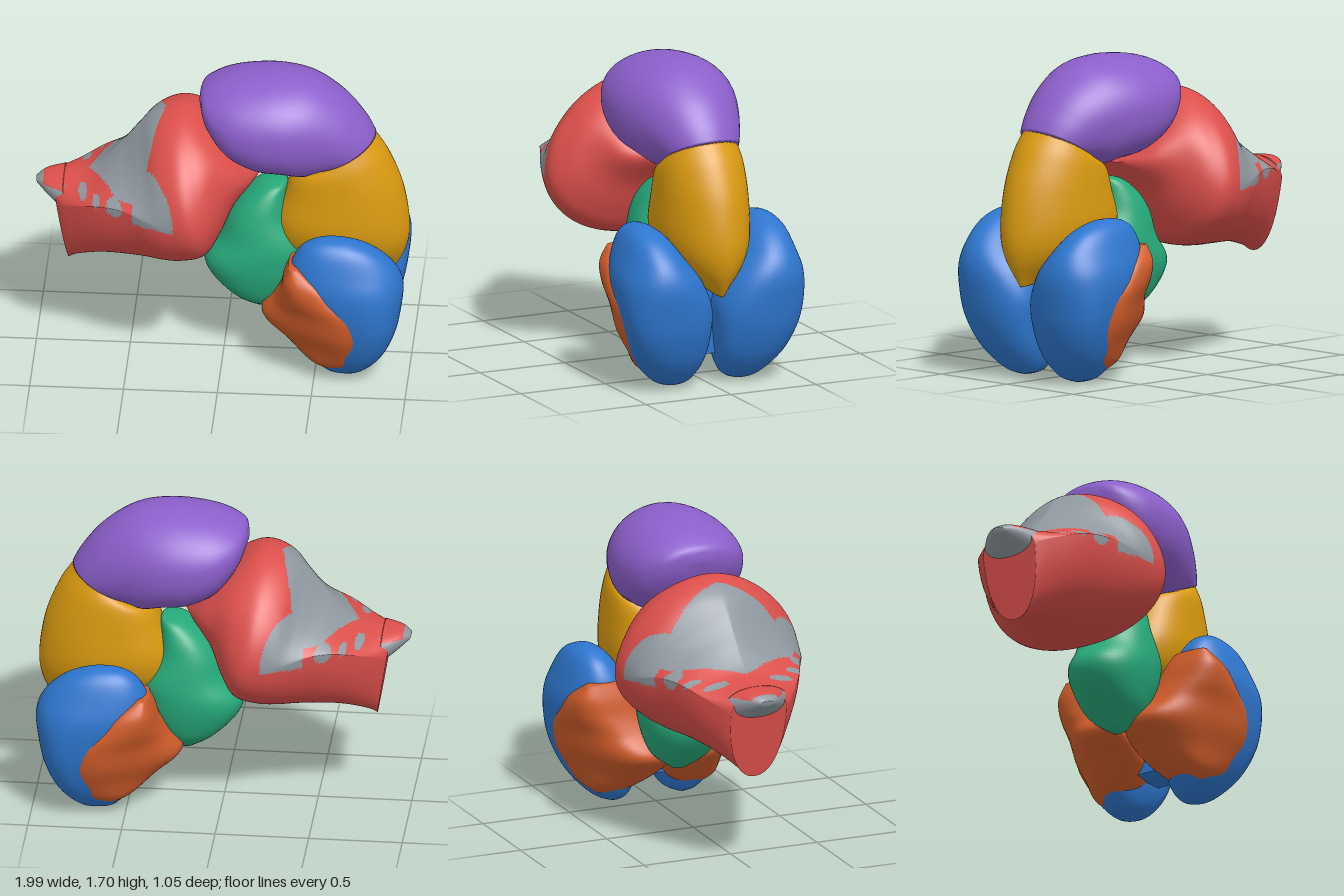
import * as THREE from 'three';

const mat = (name, color) => {
  const m = new THREE.MeshStandardMaterial({ color });
  m.name = name;
  return m;
};

// Catmull-Rom interpolation of whole section rows
function sampleRows(rows, t) {
  const n = rows.length - 1;
  const f = Math.min(t * n, n - 1e-6);
  const i = Math.floor(f), u = f - i;
  const at = (k) => rows[Math.max(0, Math.min(n, k))];
  const [p, q, r, s] = [at(i - 1), at(i), at(i + 1), at(i + 2)];
  return q.map((_, k) => q[k] + 0.5 * u * (r[k] - p[k]
    + u * (2 * p[k] - 5 * q[k] + 4 * r[k] - s[k] + u * (3 * (q[k] - r[k]) + s[k] - p[k]))));
}

// Closed loft. Row: ax, ay, bx, by (section ends in the xy plane), half width, z centre,
// widest point between a and b, z drift towards a, roundness power of the half near a.
function loft(rows, { rings = 40, seg = 48, power = 0.9, powerA = power, pick = () => 0 } = {}) {
  rows = rows.map(([ax, ay, bx, by, w, c = 0, m = 0.5, drift = 0, pa = powerA]) =>
    [ax, ay, bx, by, w, c, m, drift, pa]);
  const pos = [], tris = [];
  const bend = (v, p) => Math.sign(v) * Math.abs(v) ** p;
  for (let i = 0; i <= rings; i++) {
    const [ax, ay, bx, by, w, c, m, drift, pa] = sampleRows(rows, i / rings);
    for (let j = 0; j < seg; j++) {
      const th = (j / seg) * Math.PI * 2;
      const p = Math.cos(th) > 0 ? pa : power;
      const k = bend(Math.cos(th), p);
      const t = k > 0 ? m * (1 - k) : m - k * (1 - m);
      pos.push(ax + (bx - ax) * t, ay + (by - ay) * t,
        c + w * bend(Math.sin(th), p) - drift * Math.max(0, k));
    }
  }
  for (let i = 0; i < rings; i++) {
    for (let j = 0; j < seg; j++) {
      const a = i * seg + j, b = i * seg + (j + 1) % seg;
      tris.push([a, b, a + seg], [b, b + seg, a + seg]);
    }
  }
  // end caps
  for (const i of [0, rings]) {
    const [ax, ay, bx, by, , c] = sampleRows(rows, i / rings);
    const centre = pos.length / 3;
    pos.push((ax + bx) / 2, (ay + by) / 2, c);
    for (let j = 0; j < seg; j++) {
      const a = i * seg + j, b = i * seg + (j + 1) % seg;
      tris.push(i ? [a, b, centre] : [b, a, centre]);
    }
  }
  const P = (k) => new THREE.Vector3().fromArray(pos, k * 3);
  let volume = 0;
  const sets = [[], []];
  for (const t of tris) {
    const [a, b, c] = t.map(P);
    volume += a.dot(b.clone().cross(c));
    sets[pick(a.clone().add(b).add(c).divideScalar(3))].push(t);
  }
  const order = sets.map((s) => s.flatMap(([a, b, c]) => (volume < 0 ? [a, c, b] : [a, b, c])));
  const g = new THREE.BufferGeometry();
  g.setAttribute('position', new THREE.Float32BufferAttribute(pos, 3));
  g.setIndex(order.flat());
  g.addGroup(0, order[0].length, 0);
  if (order[1].length) g.addGroup(order[0].length, order[1].length, 1);
  g.computeVertexNormals();
  return g;
}

export function createModel() {
  const model = new THREE.Group();
  const red = mat('red', 0xdb4f4b), grey = mat('grey', 0x8f989f);
  const purple = mat('purple', 0x8c5fcb), amber = mat('amber', 0xdb9b10);
  const green = mat('green', 0x27aa7b), blue = mat('blue', 0x2e77cf);
  const orange = mat('orange', 0xcf5c2a);
  const add = (name, geometry, material) => {
    const mesh = new THREE.Mesh(geometry, material);
    mesh.name = name;
    model.add(mesh);
  };

  // Hindbrain with its thin grey roof and small openings along the rim
  const isRoof = ({ x, y, z }) => {
    const d = Math.abs(z);
    const right = d < 0.3 ? -0.31 - 0.27 * d : -0.391 + (d - 0.3) * 0.75;
    const low = x < -0.46 ? 1.07 : 0.97;
    if (y > low && x > -0.72 + 0.5 * d && x < right) return 1;
    return [[-0.56, 0.045], [-0.66, 0.022], [-0.74, 0.022], [-0.84, 0.015]]
      .some(([cx, r]) => d > 0.12 && Math.hypot(x - cx, y - 1.03) < r) ? 1 : 0;
  };
  add('hindbrain', loft([
    [-0.90, 1.03, -0.82, 0.53, 0.16, 0, 0.25, 0, 1],
    [-0.85, 1.04, -0.77, 0.56, 0.21, 0, 0.2, 0, 1.2],
    [-0.70, 1.08, -0.62, 0.60, 0.315, 0, 0.15, 0, 1.5],
    [-0.55, 1.23, -0.42, 0.61, 0.40, 0, 0.32, 0, 1.65],
    [-0.46, 1.34, -0.30, 0.615, 0.46, 0, 0.46, 0, 1.5],
    [-0.38, 1.42, -0.19, 0.63, 0.495, 0, 0.55, 0, 1.2],
    [-0.28, 1.47, -0.07, 0.68, 0.515, 0, 0.6, 0, 1.12],
    [-0.18, 1.47, 0.00, 0.79, 0.455, 0, 0.61, 0, 1.08],
    [-0.05, 1.38, 0.07, 0.94, 0.33],
    [0.05, 1.28, 0.16, 1.06, 0.22],
    [0.12, 1.21, 0.205, 1.11, 0.08],
  ], { rings: 140, seg: 140, power: 0.9, pick: isRoof }), [red, grey]);
  // Cut end: grey underneath, red lip on top
  add('hindbrainTip', loft([
    [-1.0, 1.0, -0.99, 0.97, 0.035],
    [-0.95, 1.03, -0.92, 0.91, 0.105],
    [-0.85, 1.04, -0.84, 0.85, 0.18],
  ], { rings: 24, seg: 40, pick: ({ x, y }) => (y > 1.0 && x > -0.96 ? 1 : 0) }), [grey, red]);

  // Midbrain arch
  add('midbrain', loft([
    [-0.125, 1.575, -0.13, 1.52, 0.05],
    [-0.10, 1.61, -0.08, 1.39, 0.20],
    [0.00, 1.66, 0.03, 1.24, 0.295],
    [0.13, 1.69, 0.18, 1.16, 0.335],
    [0.30, 1.70, 0.32, 1.14, 0.335],
    [0.48, 1.67, 0.40, 1.12, 0.305],
    [0.65, 1.56, 0.43, 1.12, 0.265],
    [0.76, 1.43, 0.45, 1.14, 0.23],
    [0.81, 1.34, 0.47, 1.16, 0.205],
  ], { power: 0.86, powerA: 1 }), purple);

  // Upper forebrain, tapering between the hemispheres
  add('upperForebrain', loft([
    [0.805, 1.335, 0.47, 1.16, 0.20],
    [0.88, 1.22, 0.38, 1.12, 0.225],
    [0.955, 1.03, 0.33, 1.00, 0.235],
    [0.99, 0.80, 0.28, 0.84, 0.235],
    [0.97, 0.65, 0.30, 0.70, 0.18],
    [0.90, 0.51, 0.38, 0.62, 0.05],
  ], { power: 0.75, powerA: 1.05 }), amber);

  // Lower forebrain
  add('lowerForebrain', loft([
    [0.16, 0.285, 0.24, 0.28, 0.04],
    [0.03, 0.38, 0.33, 0.36, 0.15],
    [-0.08, 0.50, 0.42, 0.48, 0.20],
    [-0.10, 0.60, 0.45, 0.60, 0.22],
    [-0.02, 0.72, 0.45, 0.70, 0.215],
    [0.03, 0.85, 0.36, 0.85, 0.19],
    [0.10, 0.95, 0.34, 0.95, 0.16],
    [0.20, 1.03, 0.34, 1.03, 0.11],
    [0.28, 1.05, 0.33, 1.05, 0.04],
  ]), green);

  // Paired hemispheres and side lobes: y, x from, x to, z centre, half width, widest, drift
  const hemisphere = [
    [0.00, 0.60, 0.68, 0.20, 0.015, 0.5], [0.035, 0.54, 0.77, 0.205, 0.10, 0.6],
    [0.15, 0.46, 0.87, 0.23, 0.18, 0.68], [0.30, 0.42, 0.935, 0.255, 0.225, 0.7],
    [0.45, 0.40, 0.965, 0.27, 0.245, 0.66], [0.60, 0.37, 0.975, 0.30, 0.222, 0.58],
    [0.72, 0.38, 0.93, 0.325, 0.165, 0.5], [0.82, 0.43, 0.83, 0.343, 0.11, 0.5],
    [0.87, 0.50, 0.72, 0.35, 0.06, 0.5], [0.885, 0.57, 0.65, 0.35, 0.015, 0.5],
  ];
  const sideLobe = [
    [0.065, 0.54, 0.65, 0.24, 0.07, 0.5, 0], [0.12, 0.45, 0.76, 0.24, 0.145, 0.58, 0.03],
    [0.22, 0.33, 0.83, 0.25, 0.195, 0.62, 0.11], [0.33, 0.21, 0.85, 0.293, 0.203, 0.64, 0.17],
    [0.45, 0.28, 0.80, 0.308, 0.21, 0.62, 0.11], [0.55, 0.32, 0.67, 0.315, 0.205, 0.6, 0.04],
    [0.65, 0.34, 0.57, 0.325, 0.175, 0.55, 0], [0.735, 0.37, 0.43, 0.34, 0.10, 0.5, 0],
  ];
  for (const [side, s] of [['left', 1], ['right', -1]]) {
    const rows = (list) => list.map(([y, a, b, c, w, m, drift = 0]) =>
      [a, y, b, y, w, c * s, m, drift * s]);
    add(side + 'Hemisphere', loft(rows(hemisphere)), blue);
    add(side + 'SideLobe', loft(rows(sideLobe), { power: 0.72 }), orange);
  }

  // Bridge joining the hemispheres
  const bridge = new THREE.BoxGeometry(0.2, 0.4, 0.13);
  bridge.translate(0.6, 0.355, 0);
  add('hemisphereBridge', bridge, blue);

  return model;
}
